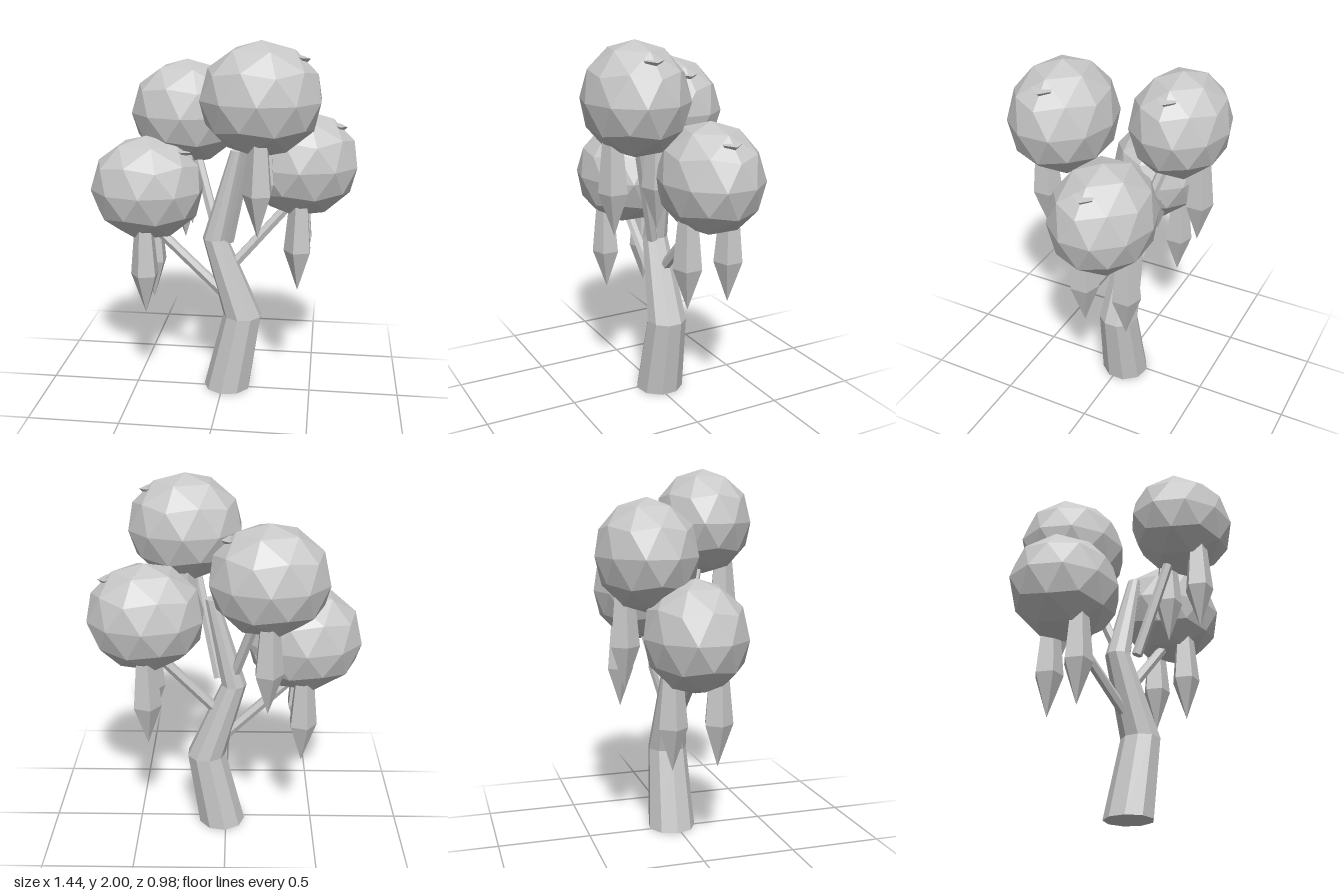
import * as THREE from 'three';

const grey = new THREE.MeshStandardMaterial({ color: 0xc8c8c8, flatShading: true });
grey.name = 'pale grey';

function add(parent, name, geometry) {
  const mesh = new THREE.Mesh(geometry, grey);
  mesh.name = name;
  parent.add(mesh);
  return mesh;
}

// Nine-sided bent trunk: each ring is [x, y, z, radius], from bottom to top
function trunkGeometry() {
  const rings = [
    [0.025, 0, -0.022, 0.133],
    [0.111, 0.445, -0.022, 0.109],
    [-0.045, 0.89, -0.03, 0.07],
    [0.075, 1.39, -0.03, 0.036],
  ];
  const g = new THREE.CylinderGeometry(1, 1, 3, 9, 3, false, -Math.PI / 2);
  const p = g.attributes.position;
  for (let i = 0; i < p.count; i++) {
    const [x, y, z, r] = rings[Math.round(p.getY(i) + 1.5)];
    p.setXYZ(i, x + p.getX(i) * r, y, z + p.getZ(i) * r);
  }
  g.computeVertexNormals();
  return g;
}

// Straight six-sided limb between two points
function limb(parent, from, to) {
  const a = new THREE.Vector3(...from);
  const b = new THREE.Vector3(...to);
  const dir = b.clone().sub(a);
  const mesh = add(parent, 'branch', new THREE.CylinderGeometry(0.028, 0.03, dir.length(), 6));
  mesh.position.copy(a).add(b).multiplyScalar(0.5);
  mesh.quaternion.setFromUnitVectors(new THREE.Vector3(0, 1, 0), dir.normalize());
}

// Faceted ball with a corner at the pole, slightly squashed
const ballGeometry = new THREE.IcosahedronGeometry(1, 1)
  .rotateZ(-Math.atan(2 / (1 + Math.sqrt(5))))
  .scale(0.316, 0.292, 0.27);

// Five-sided hanging spindle of leaves
const spindleGeometry = new THREE.LatheGeometry(
  [[0, -0.69], [0.08, -0.46], [0.045, -0.1], [0, -0.1]].map(([x, y]) => new THREE.Vector2(x, y)),
  5, -Math.PI / 2);

// Small bud that just breaks the surface of the ball
const budGeometry = new THREE.CylinderGeometry(0.058, 0.03, 0.04, 5, 1, false, Math.PI / 2)
  .rotateZ(-0.2);

function crown(x, y, z) {
  const group = new THREE.Group();
  group.name = 'crown';
  group.position.set(x, y, z);
  add(group, 'foliageBall', ballGeometry);
  for (const side of [-1, 1]) {
    add(group, 'hangingFoliage', spindleGeometry).position.z = side * 0.122;
  }
  add(group, 'bud', budGeometry).position.set(0.182, 0.196, 0);
  return group;
}

export function createModel() {
  const tree = new THREE.Group();
  tree.name = 'tree';
  add(tree, 'trunk', trunkGeometry());

  // Branches run from the trunk into each crown
  limb(tree, [0.04, 0.9, 0.03], [0.185, 1.58, 0.2]);
  limb(tree, [0.01, 0.56, -0.025], [-0.4, 0.96, -0.025]);
  limb(tree, [0.05, 0.73, -0.035], [0.42, 1.15, -0.1]);
  limb(tree, [-0.035, 0.92, -0.04], [-0.2, 1.45, -0.2]);

  tree.add(
    crown(0.22, 1.708, 0.22),
    crown(-0.42, 1.168, -0.025),
    crown(0.418, 1.314, -0.1),
    crown(-0.222, 1.562, -0.222),
  );
  return tree;
}
